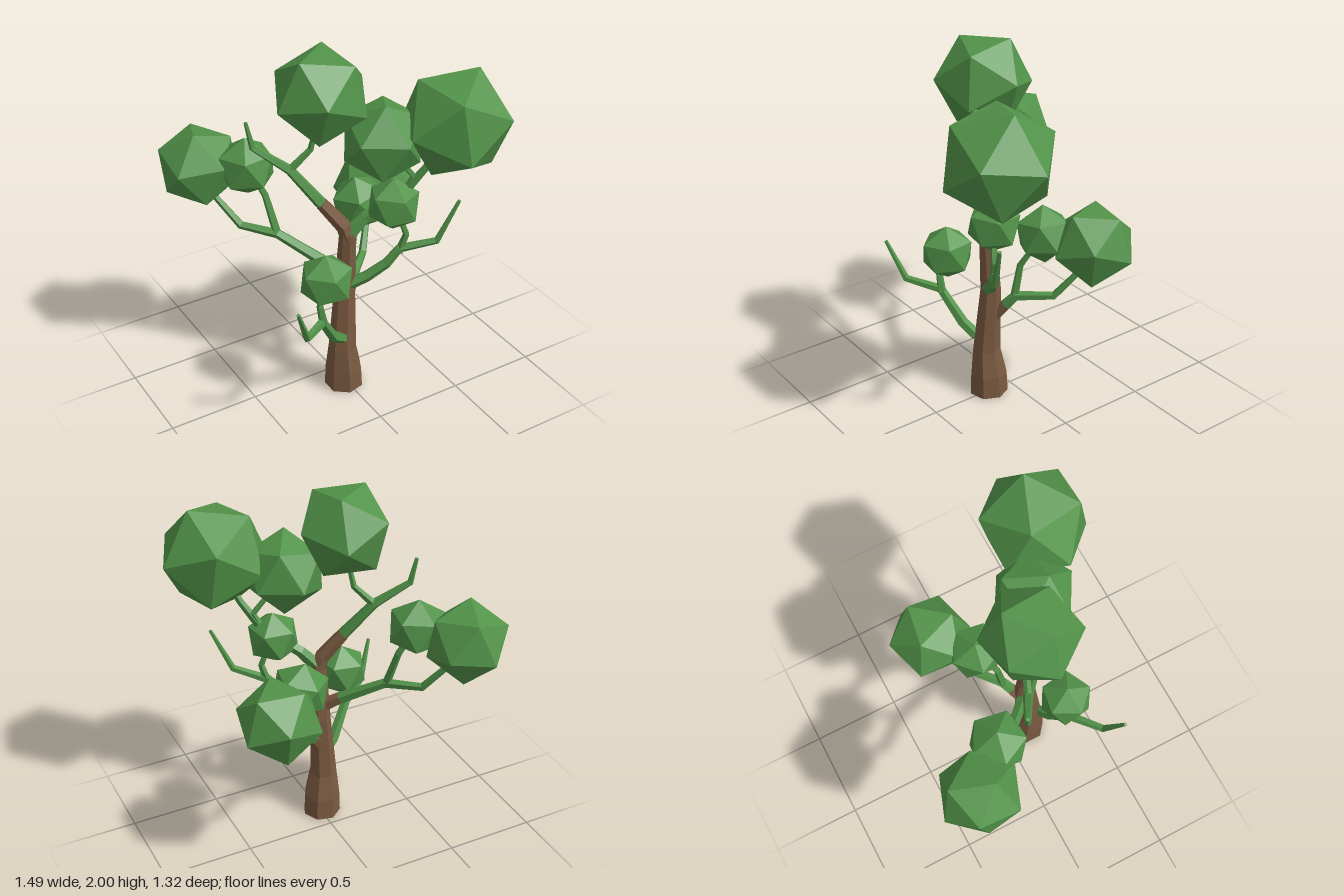
import * as THREE from 'three';

const bark = new THREE.MeshStandardMaterial({ color: 0x7a5a41 });
bark.name = 'bark brown';
const leaf = new THREE.MeshStandardMaterial({ color: 0x529349 });
leaf.name = 'leaf green';

// Faceted tapering limb through points [x, y, z, radius], capped at both ends
function limbGeometry(points, sides) {
  const centres = points.map(p => new THREE.Vector3(p[0], p[1], p[2]));
  const last = centres.length - 1;
  const verts = [], index = [];
  let u = new THREE.Vector3(1, 0, 0);
  centres.forEach((c, i) => {
    const before = c.clone().sub(centres[Math.max(i - 1, 0)]).normalize();
    const after = centres[Math.min(i + 1, last)].clone().sub(c).normalize();
    const t = before.add(after).normalize();
    if (i === 0 && Math.abs(t.x) > 0.8) u.set(0, 0, 1);
    u = u.clone().addScaledVector(t, -u.dot(t)).normalize();
    const v = t.clone().cross(u);
    for (let j = 0; j < sides; j++) {
      const a = (j / sides) * Math.PI * 2, r = points[i][3];
      const p = c.clone().addScaledVector(u, r * Math.cos(a)).addScaledVector(v, r * Math.sin(a));
      verts.push(p.x, p.y, p.z);
    }
  });
  const base = verts.length / 3;
  verts.push(...centres[0].toArray(), ...centres[last].toArray());
  for (let j = 0; j < sides; j++) {
    const k = (j + 1) % sides, top = last * sides;
    for (let i = 0; i < last; i++) {
      const a = i * sides + j, b = i * sides + k;
      index.push(a, b, b + sides, a, b + sides, a + sides);
    }
    index.push(base, k, j, base + 1, top + j, top + k);
  }
  const g = new THREE.BufferGeometry();
  g.setAttribute('position', new THREE.Float32BufferAttribute(verts, 3));
  g.setIndex(index);
  const flat = g.toNonIndexed();
  flat.computeVertexNormals();
  return flat;
}

// Twenty-sided leaf clump turned so two neighbouring corners point along d1 and d2
function clumpGeometry(radius, d1, d2) {
  const a = new THREE.Vector3(...d1).normalize();
  const b = new THREE.Vector3(...d2).normalize();
  if (a.dot(b) < 0) b.negate();
  const z = a.clone().add(b).normalize();
  const y = a.clone().sub(b).normalize();
  const x = y.clone().cross(z);
  const g = new THREE.IcosahedronGeometry(radius, 0);
  g.applyMatrix4(new THREE.Matrix4().makeBasis(x, y, z));
  return g;
}

export function createModel() {
  const tree = new THREE.Group();
  tree.name = 'tree';

  const limb = (name, material, points, sides = 5) => {
    const m = new THREE.Mesh(limbGeometry(points, sides), material);
    m.name = name;
    tree.add(m);
  };

  // Trunk with flared foot, and the bare lower part of the left fork
  limb('trunk', bark, [
    [-0.01, 0, 0.14, 0.107], [-0.012, 0.12, 0.14, 0.102], [-0.022, 0.27, 0.145, 0.078],
    [0, 0.65, 0.13, 0.057], [0.003, 0.99, 0.15, 0.045]], 7);
  limb('leftForkBase', bark, [
    [0.003, 0.96, 0.15, 0.045], [-0.02, 1.03, 0.14, 0.042], [-0.12, 1.17, 0.09, 0.034]], 6);

  // Left fork and its twigs
  limb('leftFork', leaf, [
    [-0.12, 1.17, 0.09, 0.034], [-0.25, 1.36, 0, 0.027], [-0.41, 1.49, -0.09, 0.018],
    [-0.435, 1.63, -0.105, 0.01]]);
  limb('topTwig', leaf, [
    [-0.25, 1.36, 0, 0.022], [-0.15, 1.47, 0.04, 0.017], [-0.12, 1.65, 0.07, 0.012]]);

  // Right fork
  limb('rightFork', leaf, [
    [0.003, 0.97, 0.15, 0.04], [0.09, 1.07, 0.18, 0.032], [0.27, 1.21, 0.27, 0.026],
    [0.36, 1.36, 0.33, 0.02], [0.45, 1.55, 0.4, 0.014]]);
  limb('rightForkTwig', leaf, [
    [0.27, 1.21, 0.27, 0.022], [0.31, 1.3, 0.29, 0.018], [0.2, 1.45, 0.25, 0.013]]);

  // Branch reaching back and left
  limb('backLeftBranchBase', bark, [[-0.01, 0.72, 0.13, 0.04], [-0.09, 0.79, 0.06, 0.034]]);
  limb('backLeftBranch', leaf, [
    [-0.09, 0.79, 0.06, 0.034], [-0.27, 0.93, -0.11, 0.027], [-0.41, 0.95, -0.26, 0.023],
    [-0.5, 1.1, -0.35, 0.018], [-0.55, 1.25, -0.42, 0.013]]);
  limb('backLeftTwig', leaf, [
    [-0.27, 0.92, -0.11, 0.024], [-0.3, 1.14, -0.18, 0.019], [-0.37, 1.3, -0.23, 0.013]]);

  // Low branch reaching forward and left
  limb('frontLeftBranch', leaf, [
    [-0.05, 0.35, 0.19, 0.032], [-0.13, 0.41, 0.225, 0.031], [-0.24, 0.59, 0.29, 0.026],
    [-0.4, 0.625, 0.41, 0.021], [-0.485, 0.84, 0.475, 0.01]]);
  limb('frontLeftTwig', leaf, [
    [-0.23, 0.58, 0.29, 0.024], [-0.25, 0.69, 0.29, 0.019], [-0.2, 0.82, 0.27, 0.013]]);

  // Branch reaching forward and right
  limb('frontRightBranch', leaf, [
    [0.01, 0.66, 0.15, 0.035], [0.09, 0.71, 0.2, 0.032], [0.18, 0.79, 0.25, 0.029],
    [0.24, 0.88, 0.28, 0.025], [0.4, 0.935, 0.39, 0.02], [0.5, 1.17, 0.435, 0.01]]);
  limb('frontRightTwig', leaf, [
    [0.24, 0.86, 0.28, 0.023], [0.27, 0.97, 0.3, 0.018], [0.22, 1.13, 0.27, 0.013]]);

  // Low branch reaching back and right
  limb('backRightBranchBase', bark, [[0.01, 0.47, 0.12, 0.036], [0.07, 0.56, 0.075, 0.032]]);
  limb('backRightBranch', leaf, [
    [0.07, 0.56, 0.075, 0.032], [0.11, 0.62, 0.04, 0.029], [0.26, 0.64, -0.1, 0.023],
    [0.34, 0.78, -0.19, 0.018], [0.4, 0.95, -0.23, 0.013]]);
  limb('backRightTwig', leaf, [
    [0.1, 0.6, 0.045, 0.024], [0.12, 0.8, 0.02, 0.019], [0.2, 0.97, -0.05, 0.013]]);

  // Leaf clumps: name, centre, radius, directions of two corners
  const clumps = [
    ['topClump', [-0.115, 1.78, 0.08], 0.257, [0.06, 0.22, -0.117], [0.257, 0.02, -0.015]],
    ['largeRightClump', [0.465, 1.62, 0.41], 0.298, [0.293, 0.035, -0.066], [-0.157, 0.27, -0.13]],
    ['innerRightClump', [0.15, 1.535, 0.24], 0.225, [-0.192, 0, 0.09], [-0.01, -0.225, -0.05]],
    ['largeLeftClump', [-0.555, 1.28, -0.43], 0.224, [-0.04, -0.055, -0.218], [-0.045, 0.195, 0.065]],
    ['smallLeftClump', [-0.375, 1.31, -0.235], 0.16, [0.153, -0.063, 0.03], [0.005, 0.143, -0.003]],
    ['largeBackClump', [0.41, 0.97, -0.235], 0.228, [0.216, -0.06, -0.055], [0.016, 0.043, -0.215]],
    ['smallBackClump', [0.21, 1, -0.065], 0.158, [0.015, -0.056, 0.15], [0.15, -0.04, 0.01]],
    ['frontRightClump', [0.212, 1.15, 0.258], 0.147, [0.01, 0.145, -0.005], [-0.13, 0.065, 0.02]],
    ['frontLeftClump', [-0.2, 0.827, 0.268], 0.15, [0, 0.14, 0], [-0.135, 0.06, 0.02]],
  ];
  for (const [name, centre, radius, d1, d2] of clumps) {
    const m = new THREE.Mesh(clumpGeometry(radius, d1, d2), leaf);
    m.name = name;
    m.position.set(...centre);
    tree.add(m);
  }
  return tree;
}
